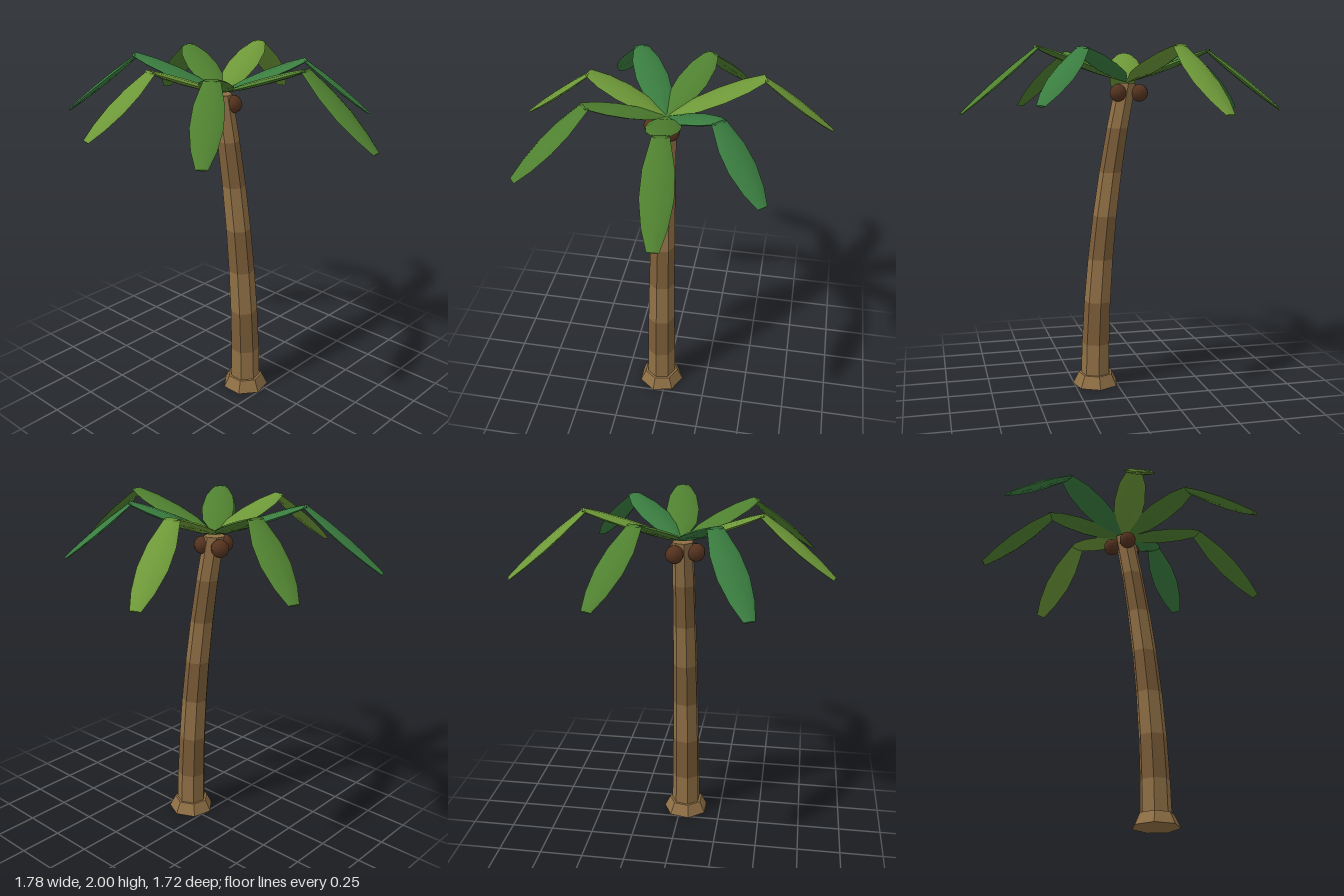
import * as THREE from 'three';
import { toCreasedNormals } from 'three/addons/utils/BufferGeometryUtils.js';

const SIDES = 7;
const TRUNK_HEIGHT = 1.79;
const CENTER_Z = 0.034;

const material = (color, flatShading = false) =>
  new THREE.MeshStandardMaterial({ color, flatShading, roughness: 0.9 });

// Sideways lean of the trunk at height y
const leanX = (y) => 0.12 - 0.185 * (y / TRUNK_HEIGHT) ** 2;
const trunkRadius = (y) => 0.09 - 0.03 * (y / TRUNK_HEIGHT);

function addMesh(parent, name, geometry, mat) {
  const mesh = new THREE.Mesh(geometry, mat);
  mesh.name = name;
  parent.add(mesh);
  return mesh;
}

// Seven-sided section with a flat face to the front, bent along the lean
function trunkSection(y0, y1, r0, r1) {
  const geo = new THREE.CylinderGeometry(r1, r0, y1 - y0, SIDES, 1, false, Math.PI / SIDES);
  geo.translate(0, (y0 + y1) / 2, CENTER_Z);
  const pos = geo.attributes.position;
  for (let i = 0; i < pos.count; i++) pos.setX(i, pos.getX(i) + leanX(pos.getY(i)));
  geo.computeVertexNormals();
  return geo;
}

// Flattened blade between two points; profile rows are [fraction of length, half width]
function blade(from, to, profile) {
  const dir = to.clone().sub(from);
  const length = dir.length();
  dir.normalize();
  const points = [
    new THREE.Vector2(0, 0),
    ...profile.map(([t, w]) => new THREE.Vector2(w, t * length)),
    new THREE.Vector2(0, length),
  ];
  const geo = new THREE.LatheGeometry(points, 8, Math.PI / 2);
  geo.scale(1, 1, 0.2);
  const side = new THREE.Vector3().crossVectors(dir, new THREE.Vector3(0, 1, 0)).normalize();
  const normal = new THREE.Vector3().crossVectors(side, dir);
  geo.applyMatrix4(new THREE.Matrix4().makeBasis(side, dir, normal).setPosition(from));
  return toCreasedNormals(geo, 0.6);
}

export function createModel() {
  const model = new THREE.Group();
  model.name = 'palmTree';

  // Trunk: flared foot and seven bands in alternating browns
  const trunk = new THREE.Group();
  trunk.name = 'trunk';
  model.add(trunk);
  const barks = [material(0x8f6f45, true), material(0x7a5c38, true)];
  addMesh(trunk, 'trunkFoot', trunkSection(0, 0.07, 0.137, 0.103), barks[0]);
  const bands = 7;
  for (let i = 0; i < bands; i++) {
    const y0 = (i / bands) * TRUNK_HEIGHT;
    const y1 = ((i + 1) / bands) * TRUNK_HEIGHT;
    addMesh(trunk, 'trunkBand', trunkSection(y0, y1, trunkRadius(y0), trunkRadius(y1)), barks[i % 2]);
  }

  // Three coconuts under the crown
  const nutMaterial = material(0x55331f);
  const nutGeometry = new THREE.SphereGeometry(0.05, 10, 8);
  for (let i = 0; i < 3; i++) {
    const a = (i * 2 * Math.PI) / 3;
    const nut = addMesh(model, 'coconut', nutGeometry, nutMaterial);
    nut.position.set(-0.073 + 0.073 * Math.sin(a), 1.735, 0.035 + 0.073 * Math.cos(a));
  }

  // Fronds: an inner blade rises to an elbow, an outer blade droops to the tip
  const inner = [[0, 0.006], [0.3, 0.08], [0.55, 0.092], [0.8, 0.078], [1, 0.04]];
  const outer = [[0, 0.043], [0.3, 0.078], [0.55, 0.083], [0.8, 0.063], [1, 0.03]];
  const greens = [material(0x4f8030), material(0x3a7d40), material(0x6d9838)];
  const crown = new THREE.Vector3(-0.07, 1.795, 0.03);
  // elbow x, y, z, tip x, y, z
  const fronds = [
    [0.47, 1.99, -0.04, 0.885, 1.625, -0.08],
    [0.26, 1.975, -0.295, 0.515, 1.675, -0.545],
    [-0.235, 1.985, -0.475, -0.37, 1.635, -0.855],
    [-0.505, 1.975, -0.15, -0.87, 1.645, -0.31],
    [-0.515, 1.98, 0.26, -0.88, 1.64, 0.455],
    [-0.16, 1.97, 0.475, -0.235, 1.665, 0.85],
    [0.22, 1.975, 0.405, 0.465, 1.65, 0.73],
  ];
  fronds.forEach(([ex, ey, ez, tx, ty, tz], i) => {
    const frond = new THREE.Group();
    frond.name = 'frond';
    model.add(frond);
    const elbow = new THREE.Vector3(ex, ey, ez);
    const tip = new THREE.Vector3(tx, ty, tz);
    const green = greens[i % 3];
    addMesh(frond, 'innerBlade', blade(crown, elbow, inner), green);
    // The outer blade starts slightly inside the elbow
    const start = elbow.clone().lerp(tip, -0.04);
    start.y = ey - 0.002;
    addMesh(frond, 'outerBlade', blade(start, tip, outer), green);
  });

  return model;
}
